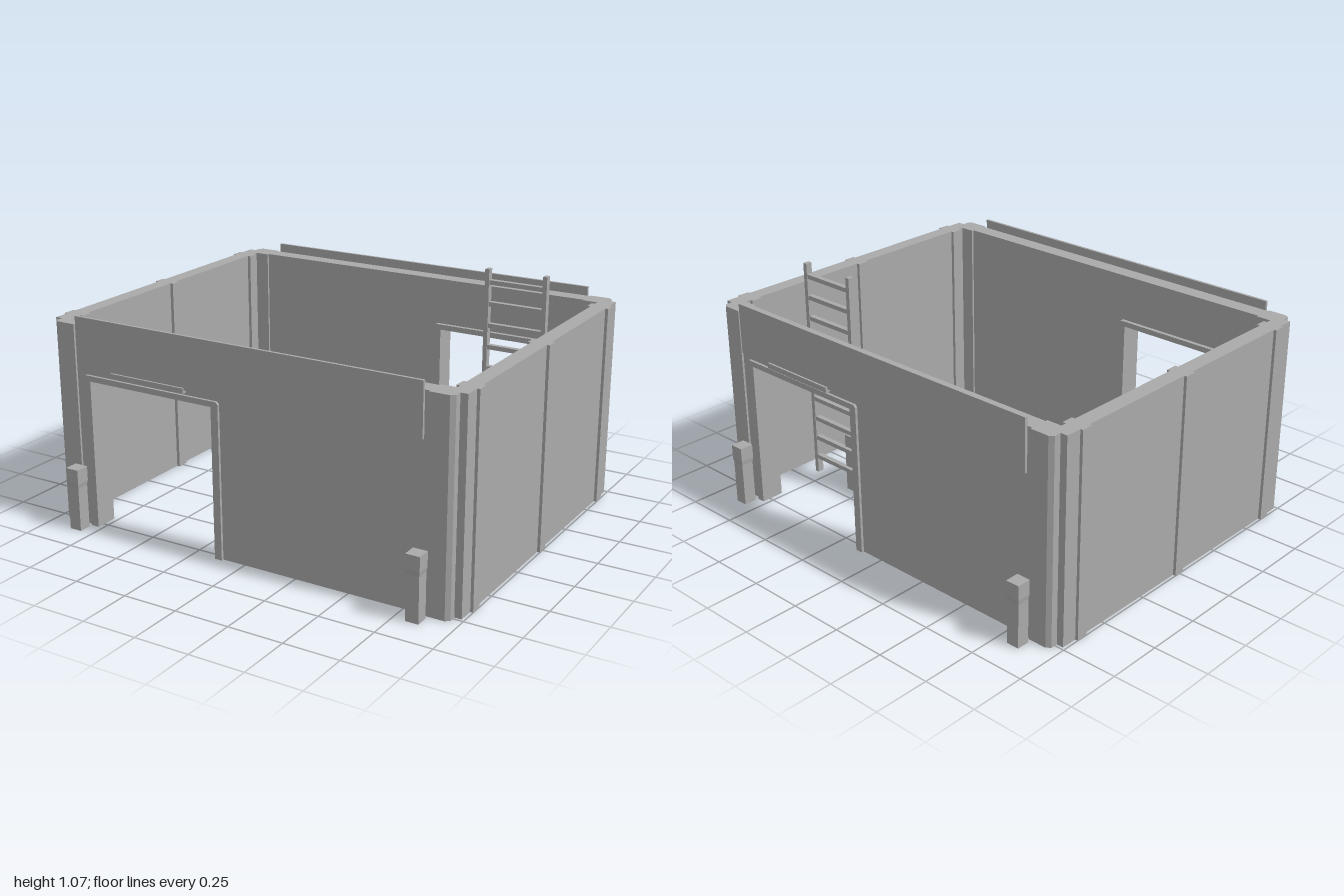
import * as THREE from 'three';

const H = 0.917; // wall height

export function createModel() {
  const model = new THREE.Group();
  model.name = 'guardRoom';
  const grey = new THREE.MeshStandardMaterial({ color: 0xaaaaaa });
  grey.name = 'plain grey';

  const add = (parent, name, geometry) => {
    const mesh = new THREE.Mesh(geometry, grey);
    mesh.name = name;
    parent.add(mesh);
    return mesh;
  };
  // Box given by its limits on each axis
  const box = (parent, name, x0, x1, y0, y1, z0, z1) => {
    const mesh = add(parent, name, new THREE.BoxGeometry(x1 - x0, y1 - y0, z1 - z0));
    mesh.position.set((x0 + x1) / 2, (y0 + y1) / 2, (z0 + z1) / 2);
    return mesh;
  };
  // Outline in x,y pushed out from z0 to z1
  const plate = (parent, name, points, z0, z1) => {
    const shape = new THREE.Shape(points.map(([x, y]) => new THREE.Vector2(x, y)));
    const geometry = new THREE.ExtrudeGeometry(shape, { depth: z1 - z0, bevelEnabled: false });
    geometry.translate(0, 0, z0);
    return add(parent, name, geometry);
  };

  // Two door sides, each the other turned half round
  for (const [name, turn] of [['front', 0], ['back', Math.PI]]) {
    const side = new THREE.Group();
    side.name = name + 'Side';
    side.rotation.y = turn;
    model.add(side);

    plate(side, 'doorWall', [
      [-0.86, 0], [-0.79, 0], [-0.79, 0.69], [-0.125, 0.69], [-0.125, 0],
      [0.86, 0], [0.86, H], [-0.86, H],
    ], 0.7, 0.775);

    // Deep door frame with clipped top corners
    plate(side, 'doorFrame', [
      [-0.81, 0], [-0.773, 0], [-0.773, 0.675], [-0.143, 0.675], [-0.143, 0],
      [-0.108, 0], [-0.108, 0.69], [-0.118, 0.7], [-0.8, 0.7], [-0.81, 0.69],
    ], 0.68, 0.787);

    box(side, 'signBoard', -0.835, 0.83, 0.725, 0.957, 0.778, 0.791);
    box(side, 'doorLamp', -0.648, -0.272, 0.711, 0.735, 0.77, 0.8);

    // Bollards with a wider cap on a sloping collar
    for (const x of [-0.84, 0.835]) {
      const bollard = new THREE.Group();
      bollard.name = 'bollard';
      bollard.position.set(x, 0, 0.832);
      side.add(bollard);
      box(bollard, 'bollardPost', -0.029, 0.029, 0, 0.2, -0.029, 0.029);
      const collar = add(bollard, 'bollardCollar',
        new THREE.CylinderGeometry(0.032 * Math.SQRT2, 0.029 * Math.SQRT2, 0.02, 4, 1).toNonIndexed());
      collar.geometry.rotateY(Math.PI / 4);
      collar.geometry.computeVertexNormals();
      collar.position.y = 0.21;
      box(bollard, 'bollardCap', -0.032, 0.032, 0.22, 0.285, -0.032, 0.032);
    }
  }

  // Side walls with three pilasters each
  for (const s of [-1, 1]) {
    const wall = box(model, 'sideWall', -0.035, 0.035, 0, H, -0.67, 0.67);
    wall.position.x = s * 0.952;
    for (const z of [-0.638, 0, 0.638]) {
      const pilaster = box(model, 'pilaster', -0.049, 0.049, 0, H, z - 0.027, z + 0.027);
      pilaster.position.x = s * 0.951;
    }
  }

  // Stepped corner columns
  const corner = [
    [0.85, 0.785], [0.937, 0.785], [0.955, 0.77], [0.955, 0.738], [0.987, 0.738],
    [0.987, 0.66], [0.917, 0.66], [0.917, 0.69], [0.85, 0.69],
  ];
  for (const sx of [-1, 1]) {
    for (const sz of [-1, 1]) {
      const column = plate(model, 'cornerColumn', corner.map(([x, z]) => [sx * x, sz * z]), 0, H);
      column.geometry.rotateX(-Math.PI / 2);
    }
  }

  // Desk with two small screens
  const desk = new THREE.Group();
  desk.name = 'desk';
  model.add(desk);
  box(desk, 'deskBody', -0.065, 0.583, 0, 0.28, -0.443, -0.24);
  for (const x of [0.083, 0.308]) {
    box(desk, 'screenFoot', x - 0.018, x + 0.018, 0.28, 0.29, -0.389, -0.361);
    box(desk, 'screenStem', x - 0.01, x + 0.01, 0.29, 0.31, -0.38, -0.37);
    box(desk, 'screen', x - 0.073, x + 0.073, 0.3, 0.39, -0.384, -0.366);
  }

  // Ladder
  const ladder = new THREE.Group();
  ladder.name = 'ladder';
  model.add(ladder);
  for (const x of [0.495, 0.772]) {
    box(ladder, 'ladderRail', x - 0.01, x + 0.01, 0.03, 1.07, -0.462, -0.432);
  }
  for (let i = 0; i < 10; i++) {
    const y = 0.11 + i * 0.1;
    box(ladder, 'ladderRung', 0.495, 0.772, y - 0.01, y + 0.01, -0.46, -0.436);
  }

  return model;
}
